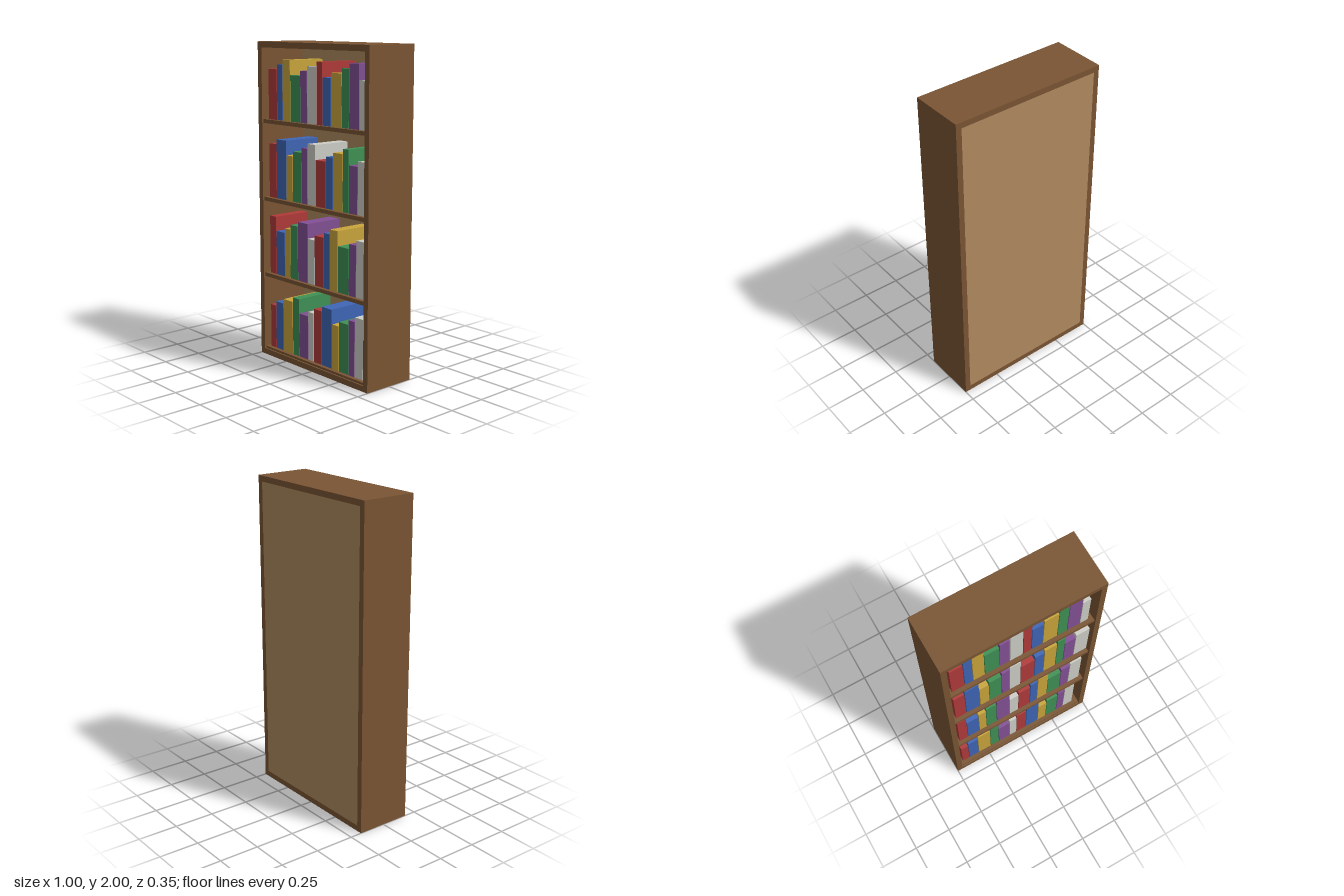
import * as THREE from 'three';

const mat = (name, color) => {
  const m = new THREE.MeshStandardMaterial({ color });
  m.name = name;
  return m;
};

export function createModel() {
  const model = new THREE.Group();
  model.name = 'bookcase';

  const wood = mat('dark wood', 0x7a5533);
  const backWood = mat('light wood', 0xb08a60);
  const covers = [
    mat('red cover', 0xb03a3a),
    mat('blue cover', 0x3f66b5),
    mat('yellow cover', 0xcaa63c),
    mat('green cover', 0x3f9155),
    mat('purple cover', 0x835095),
    mat('white cover', 0xcfcfc8),
  ];

  // Box given by its lower and upper limits on each axis
  const box = (name, material, [x0, x1], [y0, y1], [z0, z1], parent = model) => {
    const mesh = new THREE.Mesh(new THREE.BoxGeometry(x1 - x0, y1 - y0, z1 - z0), material);
    mesh.position.set((x0 + x1) / 2, (y0 + y1) / 2, (z0 + z1) / 2);
    mesh.name = name;
    parent.add(mesh);
  };

  const T = 0.036, inner = 0.5 - T, depth = [-0.175, 0.175];

  // Carcass
  box('rightSide', wood, [-0.5, -inner], [0, 2], depth);
  box('leftSide', wood, [inner, 0.5], [0, 2], depth);
  box('topPanel', wood, [-inner, inner], [2 - T, 2], depth);
  box('bottomPanel', wood, [-inner, inner], [0, T], depth);
  box('backPanel', backWood, [-inner, inner], [T, 2 - T], [-0.175, -0.155]);

  for (let row = 0; row < 4; row++) {
    // Shelf board, set slightly back from the front edge
    const y = 0.05 + row * 0.491;
    box('shelf', wood, [-inner, inner], [y - 0.024, y], [-0.155, 0.165]);

    // Row of books with cycling widths, heights and cover colours
    const books = new THREE.Group();
    books.name = 'bookRow';
    model.add(books);
    let x = -0.44;
    for (let i = 0; i < 12; i++) {
      const w = 0.05 + 0.01 * ((row + 2 * i) % 5);
      const h = 0.28 + 0.03 * ((i + 3 * row) % 4);
      box('book', covers[i % 6], [x, x + w], [y, y + h], [-0.12, 0.14], books);
      x += w + 0.004;
    }
  }
  return model;
}
